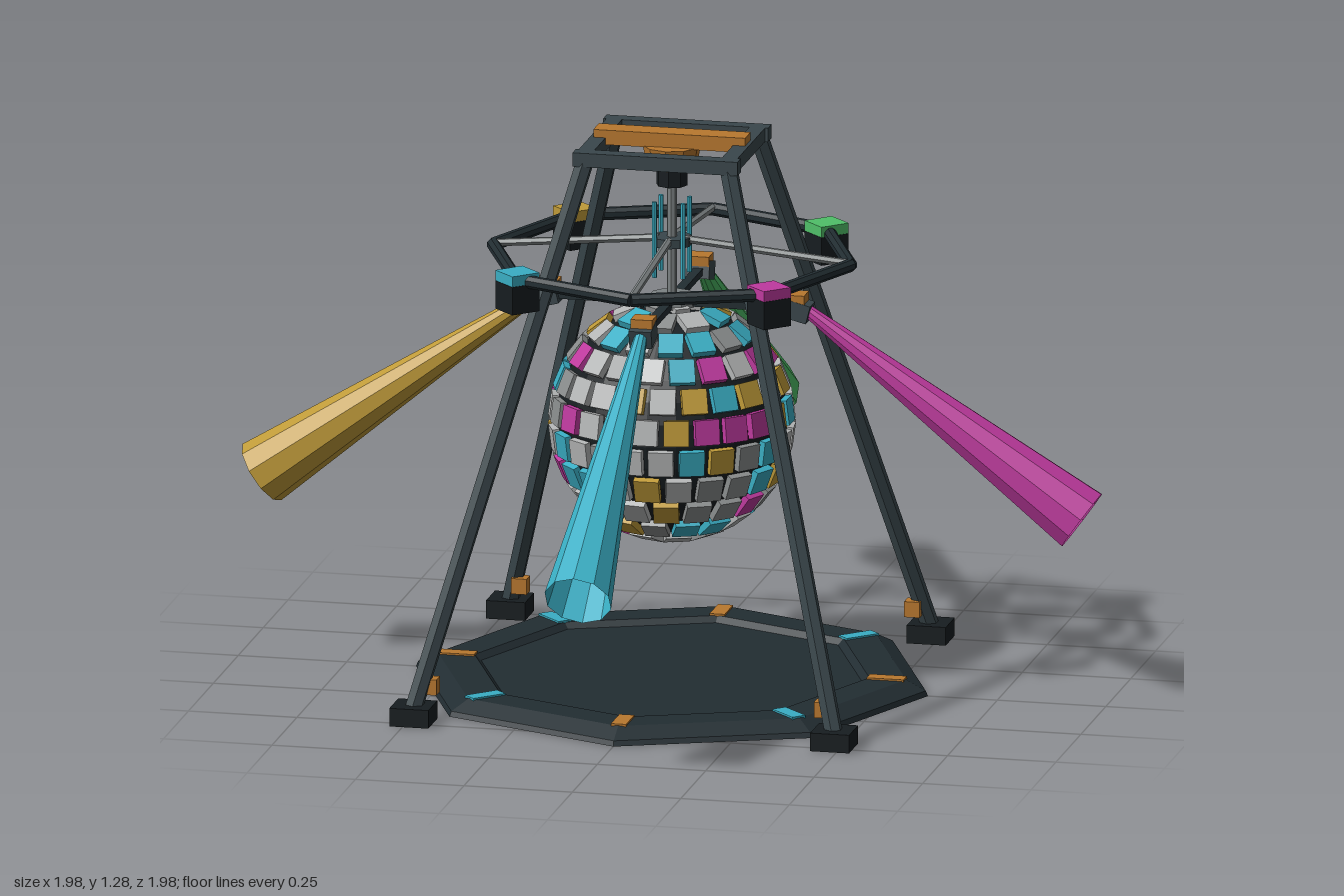
import * as THREE from 'three';
import { mergeGeometries } from 'three/addons/utils/BufferGeometryUtils.js';

const COLORS = {
  black: 0x171d20, dark: 0x222d32, steel: 0x3a474c, grey: 0x7c8283, orange: 0xb8782f,
  cyan: 0x3aaec4, magenta: 0xbf3a9f, green: 0x4fbf68, gold: 0xbf9a38,
  silver: 0xb4b6b6, pewter: 0x8b8e8e,
};
const mats = {};
const mat = (name) => (mats[name] ??= new THREE.MeshStandardMaterial({ color: COLORS[name], flatShading: true }));
const V = (x, y, z) => new THREE.Vector3(x, y, z);
const UP = V(0, 1, 0);

function add(parent, name, geometry, color, x = 0, y = 0, z = 0) {
  const mesh = new THREE.Mesh(geometry, mat(color));
  mesh.name = name;
  mesh.position.set(x, y, z);
  parent.add(mesh);
  return mesh;
}
const box = (parent, name, size, color, pos) => add(parent, name, new THREE.BoxGeometry(...size), color, ...pos);

// Straight bar from a to b
function bar(parent, name, a, b, radius, color, sides = 6) {
  const mid = a.clone().add(b).multiplyScalar(0.5);
  const mesh = add(parent, name, new THREE.CylinderGeometry(radius, radius, a.distanceTo(b), sides), color, ...mid);
  mesh.quaternion.setFromUnitVectors(UP, b.clone().sub(a).normalize());
  return mesh;
}

// Octagonal floor plate with bevelled rim and radial inlays
function buildBase() {
  const g = new THREE.Group();
  g.name = 'base';
  const profile = [[0, 0], [0.59, 0], [0.585, 0.012], [0.54, 0.035], [0.455, 0.035], [0.44, 0.022], [0, 0.022]]
    .map(([r, y]) => new THREE.Vector2(r, y));
  add(g, 'floorPlate', new THREE.LatheGeometry(profile, 8), 'dark');
  for (let i = 0; i < 8; i++) {
    const a = i * Math.PI / 4;
    const inlay = box(g, 'rimInlay', [0.035, 0.008, 0.085], i % 2 ? 'cyan' : 'orange',
      [0.495 * Math.sin(a), 0.035, 0.495 * Math.cos(a)]);
    inlay.rotation.y = a;
  }
  return g;
}

// Four splayed legs and the rectangular top frame
function buildFrame() {
  const g = new THREE.Group();
  g.name = 'frame';
  for (const sx of [-1, 1]) for (const sz of [-1, 1]) {
    bar(g, 'leg', V(sx * 0.485, 0.03, sz * 0.485), V(sx * 0.165, 1.24, sz * 0.15), 0.021, 'steel');
    box(g, 'foot', [0.09, 0.042, 0.09], 'black', [sx * 0.485, 0.021, sz * 0.485]);
    box(g, 'legClamp', [0.036, 0.036, 0.036], 'orange', [sx * 0.453, 0.08, sz * 0.453]);
  }
  for (const s of [-1, 1]) {
    box(g, 'topRail', [0.38, 0.032, 0.036], 'steel', [0, 1.245, s * 0.154]);
    box(g, 'topSideRail', [0.036, 0.032, 0.34], 'steel', [s * 0.165, 1.245, 0]);
  }
  box(g, 'topBeam', [0.35, 0.034, 0.056], 'orange', [0, 1.262, 0]);
  return g;
}

// Motor, shaft and the light rods around it
function buildDrive() {
  const g = new THREE.Group();
  g.name = 'drive';
  add(g, 'motorMount', new THREE.CylinderGeometry(0.066, 0.056, 0.05, 10), 'orange', 0, 1.222, 0);
  add(g, 'motor', new THREE.CylinderGeometry(0.036, 0.036, 0.045, 8), 'black', 0, 1.177, 0);
  bar(g, 'shaft', V(0, 0.87, 0), V(0, 1.17, 0), 0.012, 'grey', 8);
  add(g, 'shaftHub', new THREE.CylinderGeometry(0.045, 0.045, 0.02, 10), 'steel', 0, 1.025, 0);
  add(g, 'ballCollar', new THREE.CylinderGeometry(0.05, 0.055, 0.025, 10), 'grey', 0, 0.888, 0);
  for (const sx of [-1, 1]) for (const sz of [-1, 1])
    bar(g, 'lightRod', V(sx * 0.033, 0.945, sz * 0.033), V(sx * 0.033, 1.12, sz * 0.033), 0.006, 'cyan');
  return g;
}

// Dark core covered with flat mirror tiles, merged by colour
function buildBall() {
  const g = new THREE.Group();
  g.name = 'mirrorBall';
  g.position.y = 0.61;
  const R = 0.268, rows = 12;
  add(g, 'ballCore', new THREE.SphereGeometry(0.26, 24, 16), 'black');
  let seed = 7;
  const random = () => (seed = (seed * 16807) % 2147483647) / 2147483647;
  const palette = ['silver', 'silver', 'silver', 'pewter', 'pewter', 'silver', 'cyan', 'cyan', 'magenta', 'gold'];
  const tiles = {};
  for (let i = 0; i < rows; i++) {
    const lat = ((i + 0.5) / rows - 0.5) * Math.PI;
    const count = Math.max(5, Math.round(24 * Math.cos(lat)));
    const width = 2 * Math.PI * R * Math.cos(lat) / count * 0.82;
    for (let j = 0; j < count; j++) {
      const tile = new THREE.BoxGeometry(width, Math.PI * R / rows * 0.82, 0.016);
      tile.translate(0, 0, R).rotateX(-lat).rotateY((j + (i % 2) * 0.5) / count * 2 * Math.PI);
      const color = palette[Math.floor(random() * palette.length)];
      (tiles[color] ??= []).push(tile);
    }
  }
  for (const color in tiles) add(g, color + 'Tiles', mergeGeometries(tiles[color]), color);
  return g;
}

// Octagonal ring with spokes and corner pods
function buildRing() {
  const g = new THREE.Group();
  g.name = 'lightRing';
  const at = (i, r, y) => V(r * Math.sin(i * Math.PI / 4), y, r * Math.cos(i * Math.PI / 4));
  const podColors = ['magenta', 'green', 'gold', 'cyan'];
  for (let i = 0; i < 8; i++) {
    bar(g, 'ringSegment', at(i, 0.412, 0.991), at(i + 1, 0.412, 0.991), 0.015, 'dark', 8);
    if (i % 2 === 0) {
      bar(g, 'spoke', at(i, 0.41, 0.995), at(i, 0.03, 1.03), 0.009, 'grey');
      continue;
    }
    const pod = new THREE.Group();
    pod.name = 'pod';
    pod.position.copy(at(i, 0.41, 0));
    pod.rotation.y = i * Math.PI / 4;
    box(pod, 'podBody', [0.072, 0.065, 0.072], 'black', [0, 0.953, 0]);
    box(pod, 'podLens', [0.072, 0.024, 0.072], podColors[(i - 1) / 2], [0, 0.998, 0]);
    g.add(pod);
  }
  return g;
}

// One lamp with its arm and open beam, built facing +z
function buildLamp(color) {
  const g = new THREE.Group();
  g.name = color + 'Lamp';
  box(g, 'lampArm', [0.022, 0.016, 0.29], 'dark', [0, 0.884, 0.145]);
  const head = box(g, 'lampHead', [0.052, 0.042, 0.06], 'steel', [0, 0.882, 0.29]);
  head.rotation.x = 0.25;
  box(g, 'lampCap', [0.05, 0.022, 0.05], 'orange', [0, 0.908, 0.285]);
  const start = V(0, 0.885, 0.305), end = V(0, 0.43, 0.945);
  const beam = add(g, 'beam', new THREE.CylinderGeometry(0.077, 0.014, start.distanceTo(end), 10, 1, true), color,
    ...start.clone().add(end).multiplyScalar(0.5));
  beam.material = new THREE.MeshStandardMaterial({ color: COLORS[color], flatShading: true, side: THREE.DoubleSide });
  beam.quaternion.setFromUnitVectors(UP, end.clone().sub(start).normalize());
  return g;
}

export function createModel() {
  const model = new THREE.Group();
  model.name = 'mirrorBallRig';
  model.add(buildBase(), buildFrame(), buildDrive(), buildBall(), buildRing());
  ['cyan', 'magenta', 'green', 'gold'].forEach((color, i) => {
    const lamp = buildLamp(color);
    lamp.rotation.y = i * Math.PI / 2;
    model.add(lamp);
  });
  return model;
}
